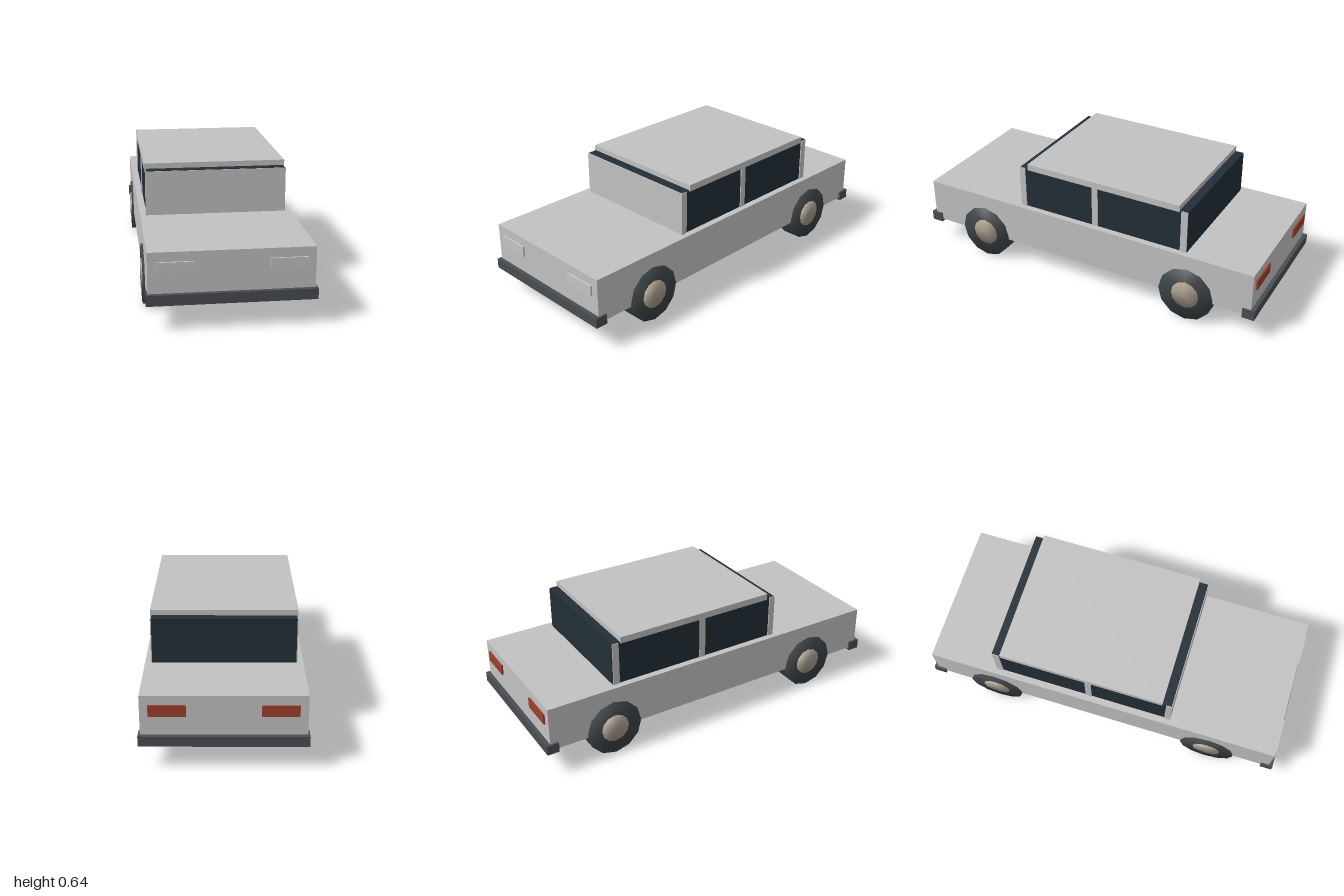
import * as THREE from 'three';
import { mergeVertices } from 'three/addons/utils/BufferGeometryUtils.js';

function material(name, color) {
  const m = new THREE.MeshStandardMaterial({ color });
  m.name = name;
  return m;
}

// Low-sided cylinder along x with normals shared across the rim for a soft look
function softDisc(radius, width) {
  const g = new THREE.CylinderGeometry(radius, radius, width, 12);
  g.deleteAttribute('normal');
  g.deleteAttribute('uv');
  const soft = mergeVertices(g, 1e-4);
  soft.rotateZ(Math.PI / 2);
  soft.computeVertexNormals();
  return soft;
}

export function createModel() {
  const car = new THREE.Group();
  car.name = 'car';

  const paint = material('body grey', 0xc2c2c2);
  const glass = material('window glass', 0x222e36);
  const bumper = material('bumper grey', 0x4a4d51);
  const rubber = material('tyre rubber', 0x3c4246);
  const hubMat = material('hub beige', 0xa89e8f);
  const lampMat = material('headlight white', 0xc6c6c2);
  const red = material('tail light red', 0x9c3f2d);

  // Box given by its limits on each axis
  function box(name, mat, x0, x1, y0, y1, z0, z1) {
    const mesh = new THREE.Mesh(new THREE.BoxGeometry(x1 - x0, y1 - y0, z1 - z0), mat);
    mesh.position.set((x0 + x1) / 2, (y0 + y1) / 2, (z0 + z1) / 2);
    mesh.name = name;
    car.add(mesh);
  }

  // Lower body and roof
  box('body', paint, -0.395, 0.395, 0.14, 0.38, -0.978, 0.978);
  box('roof', paint, -0.367, 0.367, 0.607, 0.642, -0.556, 0.335);

  // Glass cabin with frames standing slightly proud of it
  box('cabinGlass', glass, -0.36, 0.36, 0.375, 0.614, -0.604, 0.384);
  box('frontFrame', paint, -0.365, 0.365, 0.375, 0.612, 0.355, 0.388);
  box('rearFrame', paint, -0.365, 0.365, 0.375, 0.612, -0.602, -0.566);
  box('middlePillar', paint, -0.365, 0.365, 0.375, 0.612, -0.09, -0.056);

  // Bumpers
  box('frontBumper', bumper, -0.405, 0.405, 0.126, 0.179, 0.935, 1);
  box('rearBumper', bumper, -0.405, 0.405, 0.126, 0.179, -1, -0.935);

  const tyreGeo = softDisc(0.151, 0.107);
  const hubGeo = softDisc(0.076, 0.118);
  for (const side of [1, -1]) {
    const label = side > 0 ? 'left' : 'right';
    const [x0, x1] = side > 0 ? [0.177, 0.355] : [-0.355, -0.177];

    // Lamps
    box(label + 'Headlight', lampMat, x0, x1, 0.277, 0.333, 0.97, 0.987);
    box(label + 'TailLight', red, x0, x1, 0.277, 0.333, -0.987, -0.97);

    // Wheels
    for (const end of [1, -1]) {
      const wheel = new THREE.Group();
      wheel.name = label + (end > 0 ? 'Front' : 'Rear') + 'Wheel';
      wheel.position.set(side * 0.35, 0.151, end * 0.622);
      const tyre = new THREE.Mesh(tyreGeo, rubber);
      tyre.name = 'tyre';
      const hub = new THREE.Mesh(hubGeo, hubMat);
      hub.name = 'hub';
      wheel.add(tyre, hub);
      car.add(wheel);
    }
  }
  return car;
}
